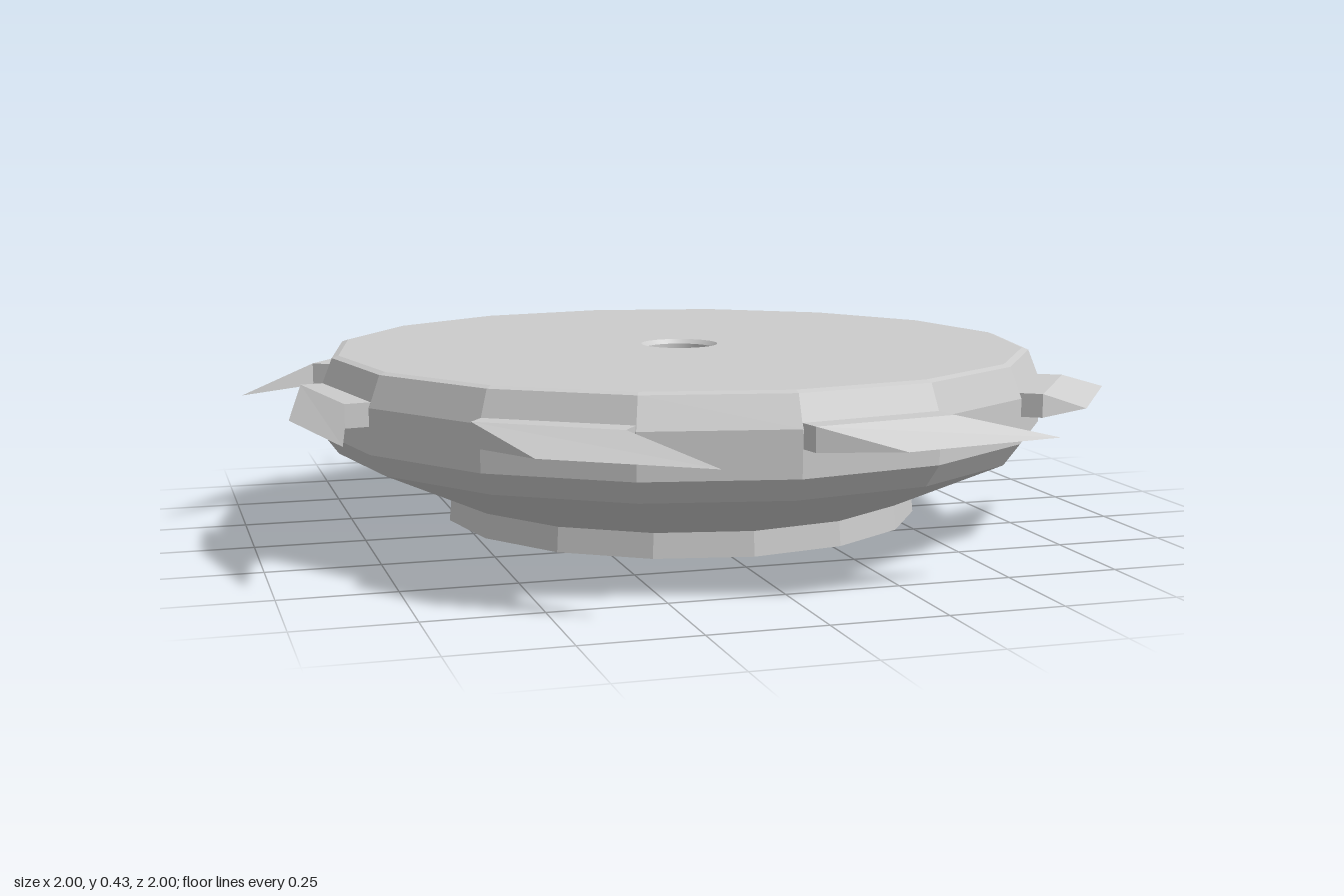
import * as THREE from 'three';

const SIDES = 16, HOLE_SIDES = 32;

export function createModel() {
  const group = new THREE.Group();
  const mat = new THREE.MeshStandardMaterial({ color: 0xcccccc, flatShading: true });
  const smooth = new THREE.MeshStandardMaterial({ color: 0xcccccc });
  const add = (name, geo, m = mat) => {
    const mesh = new THREE.Mesh(geo, m);
    mesh.name = name;
    group.add(mesh);
    return mesh;
  };
  const lathe = (pts, sides) =>
    new THREE.LatheGeometry(pts.map(([r, y]) => new THREE.Vector2(r, y)), sides);
  const ring = (n, r) => Array.from({ length: n }, (_, i) => {
    const a = (i / n) * Math.PI * 2;
    return new THREE.Vector2(Math.cos(a) * r, Math.sin(a) * r);
  });
  // flat faceted plate with a round centre hole, facing up (1) or down (-1)
  const plate = (outer, hole, y, dir) => {
    const shape = new THREE.Shape(ring(SIDES, outer));
    shape.holes.push(new THREE.Path(ring(HOLE_SIDES, hole)));
    return new THREE.ShapeGeometry(shape).rotateX(-dir * Math.PI / 2).translate(0, y, 0);
  };

  // faceted disc: shallow cone, foot ring, flared bowl, rim and top bevel
  add('discBody', lathe([
    [0.1, 0], [0.555, 0.035], [0.55, 0.09], [0.805, 0.205],
    [0.842, 0.255], [0.842, 0.355], [0.815, 0.423], [0.8, 0.428],
  ], SIDES));
  add('topPlate', plate(0.8, 0.09, 0.428, 1));
  add('bottomPlate', plate(0.1, 0.08, 0, -1));

  // centre bore with a small chamfer at the top
  add('boreChamfer', lathe([[0.09, 0.428], [0.08, 0.418]], HOLE_SIDES), smooth);
  add('bore', lathe([[0.08, 0.418], [0.08, 0]], HOLE_SIDES), smooth);

  // hooked tooth: flat mounting block with a sloped cutting wedge
  const LOW = 0.315, HIGH = 0.367;
  const outline = [[0, 0.835], [0.01, 0.887], [0.187, 0.932], [0.552, 0.862], [0.33, 0.83], [0.319, 0.772]];
  const b = outline.map(([x, z]) => [x, LOW, z]);
  const t = outline.map(([x, z]) => [x, HIGH, z]);
  const faces = [
    [t[0], t[1], t[4], t[5]],   // block top
    [t[1], b[2], b[3], t[4]],   // cutting slope
    [b[0], b[5], b[4], b[1]],   // underside
    [b[1], b[4], b[3], b[2]],
    [b[0], b[1], t[1], t[0]],   // blunt end
    [b[1], b[2], t[1]],
    [b[3], b[4], t[4]],         // hook side
    [b[4], b[5], t[5], t[4]],
    [b[5], b[0], t[0], t[5]],   // inner side
  ];
  const pos = [];
  for (const f of faces) {
    for (let i = 1; i < f.length - 1; i++) pos.push(...f[0], ...f[i], ...f[i + 1]);
  }
  const tooth = new THREE.BufferGeometry();
  tooth.setAttribute('position', new THREE.Float32BufferAttribute(pos, 3));
  tooth.computeVertexNormals();

  // eight teeth around the rim
  for (let i = 0; i < 8; i++) add('tooth' + (i + 1), tooth).rotation.y = i * Math.PI / 4;

  return group;
}
